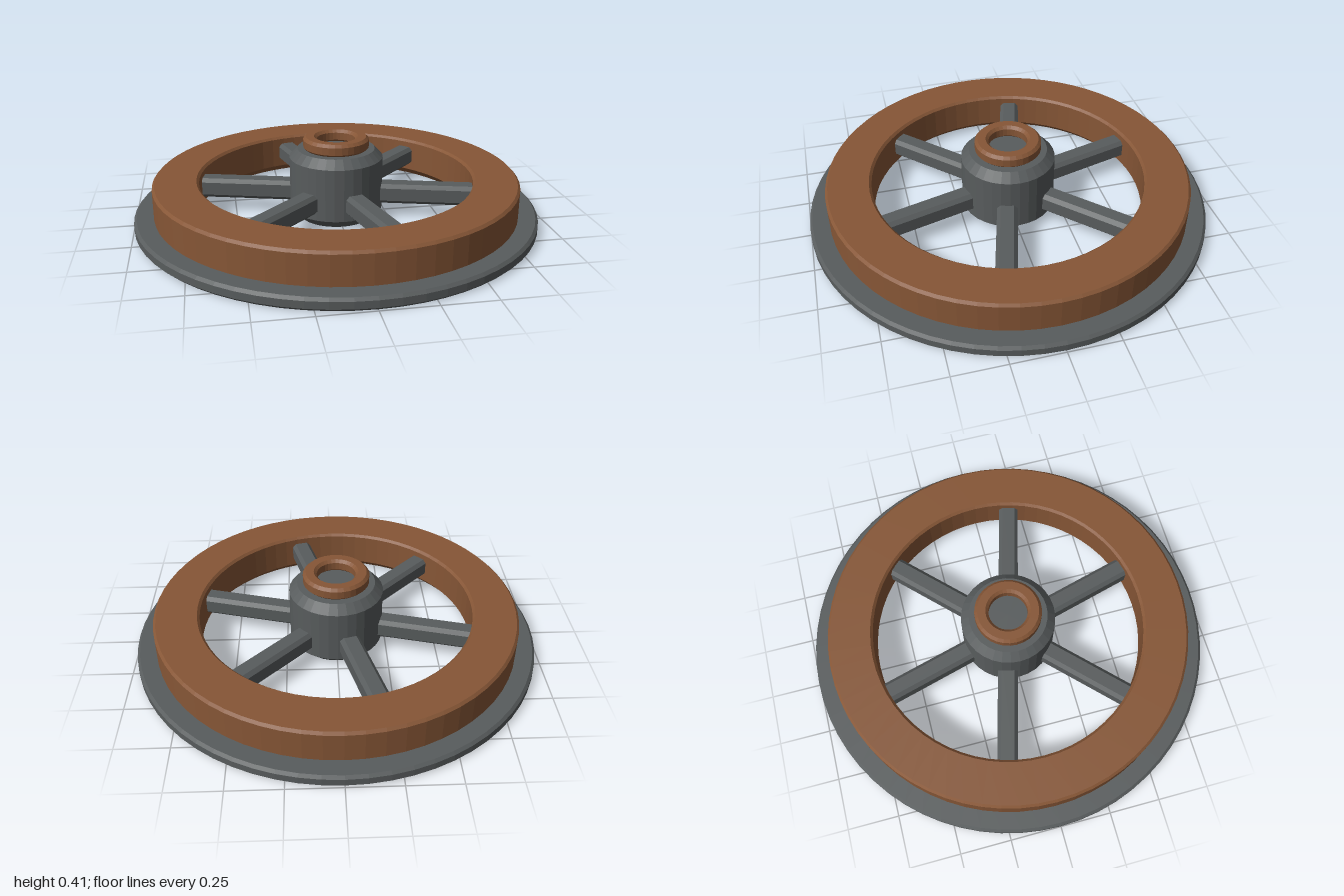
import * as THREE from 'three';

const iron = new THREE.MeshStandardMaterial({ color: 0x585c5d, flatShading: true });
iron.name = 'dark iron';
const rust = new THREE.MeshStandardMaterial({ color: 0x865636, flatShading: true });
rust.name = 'rusty brown';

// Turned part from an [radius, height] profile, listed counter-clockwise
function turned(name, profile, segments, material) {
  const points = profile.map(([r, y]) => new THREE.Vector2(r, y));
  const mesh = new THREE.Mesh(new THREE.LatheGeometry(points, segments), material);
  mesh.name = name;
  return mesh;
}

// Closed ring with chamfered edges: inner and outer radius, bottom and top, chamfer
function ring(name, ri, ro, y0, y1, c, segments, material, ci = c) {
  return turned(name, [
    [ri + ci, y0], [ro - c, y0], [ro, y0 + c], [ro, y1 - c], [ro - c, y1],
    [ri + c, y1], [ri, y1 - c], [ri, y0 + ci], [ri + ci, y0],
  ], segments, material);
}

// Bar with chamfered long edges, running from radius a to radius b along +x
function spokeGeometry(a, b, width, height, c) {
  const w = width / 2, h = height / 2;
  const section = new THREE.Shape([
    [-w + c, -h], [w - c, -h], [w, -h + c], [w, h - c],
    [w - c, h], [-w + c, h], [-w, h - c], [-w, -h + c],
  ].map(([x, y]) => new THREE.Vector2(x, y)));
  const geometry = new THREE.ExtrudeGeometry(section, { depth: b - a, bevelEnabled: false });
  geometry.translate(0, 0, a);
  geometry.rotateY(Math.PI / 2);
  return geometry;
}

export function createModel() {
  const wheel = new THREE.Group();
  wheel.name = 'spokedWheel';

  // Rim: wide flange below, raised tread above
  wheel.add(ring('flange', 0.79, 1, 0, 0.06, 0.013, 64, iron, 0.004));
  wheel.add(ring('tread', 0.68, 0.905, 0.008, 0.215, 0.012, 64, rust, 0.035));

  // Hub with chamfered ends
  wheel.add(turned('hub', [
    [0, 0], [0.185, 0], [0.232, 0.045], [0.232, 0.308], [0.192, 0.35], [0, 0.35],
  ], 32, iron));

  // Bearing collar around the open axle hole
  wheel.add(ring('collar', 0.095, 0.163, 0.345, 0.41, 0.014, 32, rust));

  // Six spokes
  const bar = spokeGeometry(0.18, 0.69, 0.1, 0.1, 0.018);
  for (let i = 0; i < 6; i++) {
    const spoke = new THREE.Mesh(bar, iron);
    spoke.name = 'spoke' + (i + 1);
    spoke.position.y = 0.125;
    spoke.rotation.y = -(Math.PI / 12 + i * Math.PI / 3);
    wheel.add(spoke);
  }
  return wheel;
}
